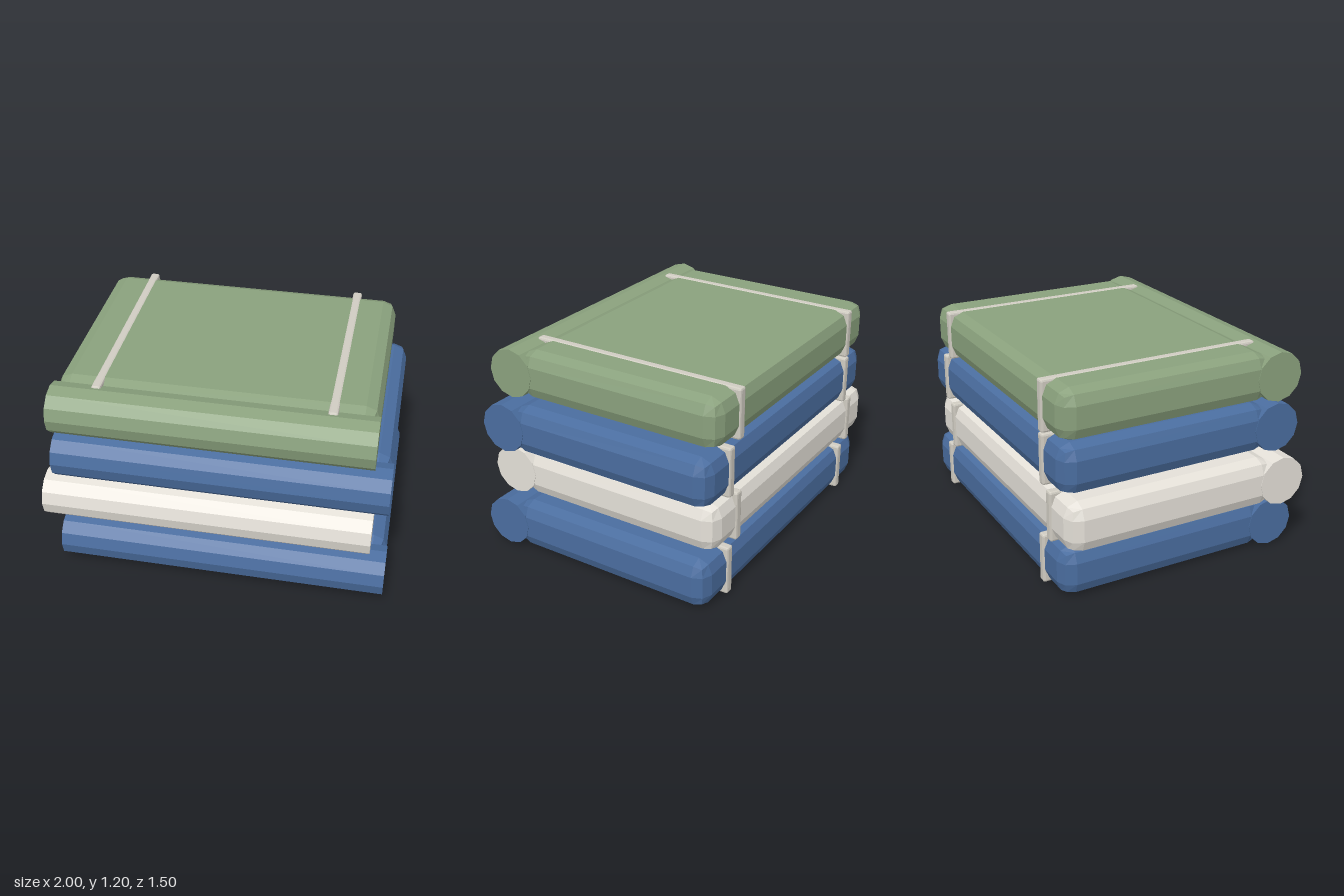
import * as THREE from 'three';
import { RoundedBoxGeometry } from 'three/addons/geometries/RoundedBoxGeometry.js';

const HALF = 0.145;   // half thickness of a folded mat
const PITCH = 0.302;  // spacing between layers
const STRAP_HALF = 0.148;

const material = (color) => new THREE.MeshStandardMaterial({ color, flatShading: true });
const green = material(0x8aa17d);
const blue = material(0x4a6d9f);
const cream = material(0xe4e0d8);
const strapMaterial = material(0xd0ccc2);

function addMesh(parent, name, geometry, mat, x, y, z) {
  const mesh = new THREE.Mesh(geometry, mat);
  mesh.name = name;
  mesh.position.set(x, y, z);
  parent.add(mesh);
  return mesh;
}

// One bedroll: flat padded body, rolled front edge and two straps
function createBedroll({ left, right, strapOffset, mat }) {
  const group = new THREE.Group();
  group.name = 'bedroll';
  const width = right - left;

  // Body with two-facet rounded edges
  const back = -0.738, front = 0.557;
  addMesh(group, 'pad',
    new RoundedBoxGeometry(width - 0.006, HALF * 2, front - back, 1, 0.082),
    mat, 0, 0, (front + back) / 2);

  // Twelve-sided roll along the front
  const roll = new THREE.CylinderGeometry(HALF, HALF, width, 12);
  roll.rotateZ(Math.PI / 2);
  addMesh(group, 'frontRoll', roll, mat, 0, 0, 0.605);

  // Straps around the body
  const strapBack = -0.747, strapFront = 0.585;
  for (const side of [-1, 1]) {
    addMesh(group, side > 0 ? 'leftStrap' : 'rightStrap',
      new RoundedBoxGeometry(0.054, STRAP_HALF * 2, strapFront - strapBack, 1, 0.012),
      strapMaterial, side * strapOffset, 0, (strapFront + strapBack) / 2);
  }

  group.position.x = (left + right) / 2;
  return group;
}

export function createModel() {
  const model = new THREE.Group();
  model.name = 'bedrollStack';

  // Layers from bottom to top, each shifted a little sideways
  const layers = [
    { left: -0.91, right: 1.0, strapOffset: 0.695, mat: blue },
    { left: -1.0, right: 0.905, strapOffset: 0.7, mat: cream },
    { left: -0.92, right: 0.985, strapOffset: 0.7, mat: blue },
    { left: -0.92, right: 0.89, strapOffset: 0.653, mat: green },
  ];
  layers.forEach((layer, i) => {
    const bedroll = createBedroll(layer);
    bedroll.position.y = STRAP_HALF + i * PITCH;
    model.add(bedroll);
  });
  return model;
}
